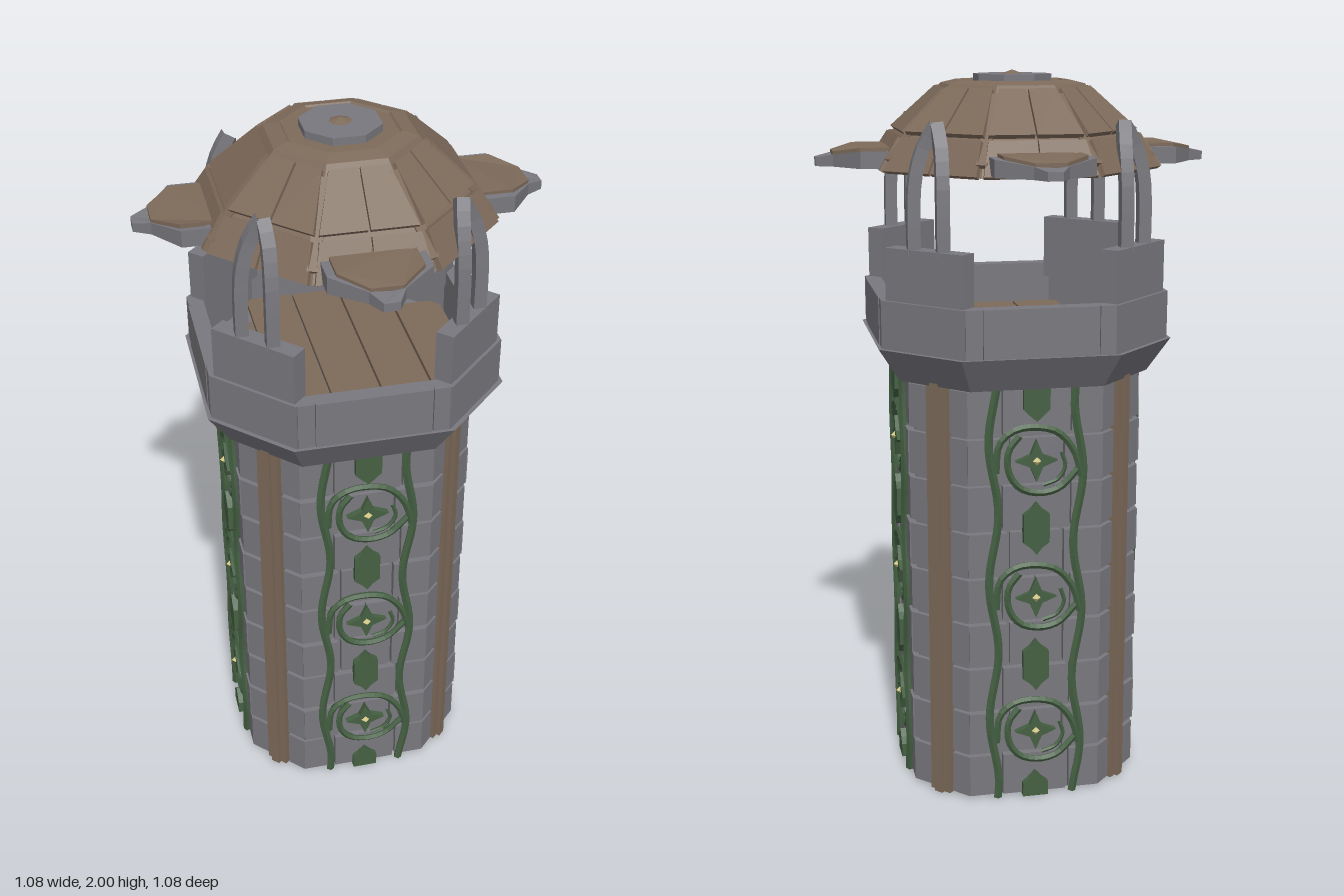
import * as THREE from 'three';

const mat = (name, color, side = THREE.FrontSide) => {
  const m = new THREE.MeshStandardMaterial({ color, side });
  m.name = name;
  return m;
};
const stone = mat('grey stone', 0x78787e);
const wood = mat('brown wood', 0x7d6a5a);
const roofWood = mat('roof brown', 0x7d6a5a, THREE.DoubleSide);
const vineGreen = mat('vine green', 0x456043);
const gold = mat('pale gold', 0xd8cc8c);

// Facetted normals on any geometry
function facet(geo) {
  const g = geo.index ? geo.toNonIndexed() : geo;
  g.computeVertexNormals();
  return g;
}
function add(parent, name, geo, material, x = 0, y = 0, z = 0) {
  const m = new THREE.Mesh(facet(geo), material);
  m.name = name;
  m.position.set(x, y, z);
  parent.add(m);
  return m;
}
const box = (w, h, d) => new THREE.BoxGeometry(w, h, d);

// Loft through octagons given as [y, flat distance, flat half-width]
function loft(rings, capBottom, capTop) {
  const pos = [];
  const pts = rings.map(([y, a, b]) => [[a, b], [b, a], [-b, a], [-a, b], [-a, -b], [-b, -a], [b, -a], [a, -b]]
    .map(([x, z]) => [x, y, z]));
  const tri = (...p) => p.forEach((v) => pos.push(...v));
  for (let i = 0; i < 8; i++) {
    const j = (i + 1) % 8;
    for (let r = 0; r + 1 < pts.length; r++) {
      const p = pts[r], q = pts[r + 1];
      tri(p[i], q[i], p[j]);
      tri(p[j], q[i], q[j]);
    }
    const last = pts[pts.length - 1];
    if (capBottom) tri([0, rings[0][0], 0], pts[0][i], pts[0][j]);
    if (capTop) tri([0, last[0][1], 0], last[j], last[i]);
  }
  const g = new THREE.BufferGeometry();
  g.setAttribute('position', new THREE.Float32BufferAttribute(pos, 3));
  return g;
}
const poly = (pts) => new THREE.Shape(pts.map((p) => new THREE.Vector2(...p)));
const plate = (pts, depth) => new THREE.ExtrudeGeometry(poly(pts), { depth, bevelEnabled: false });
const mirrored = (half) => [...half, ...half.slice().reverse().map(([x, y]) => [-x, y])];
function tube(points, radius, segs, sides = 5) {
  const curve = new THREE.CatmullRomCurve3(points.map((p) => new THREE.Vector3(...p)));
  return new THREE.TubeGeometry(curve, segs, radius, sides);
}
// Group turned towards one of the eight sides
function side(parent, name, k) {
  const g = new THREE.Group();
  g.name = name;
  g.rotation.y = k * Math.PI / 4;
  parent.add(g);
  return g;
}

const ROWS = 9, ROW = 1.19 / ROWS;

// Broad wall: staggered stone blocks
function wall(g) {
  for (let r = 0; r < ROWS; r++) {
    const s = r % 2 ? 0.075 : 0.095;
    [[-0.19, -s], [-s, s], [s, 0.19]].forEach(([x0, x1], i) => {
      const d = 0.022 + 0.004 * ((r + i) % 2);
      add(g, 'wallBlock', box(x1 - x0 - 0.01, ROW - 0.012, d), stone, (x0 + x1) / 2, (r + 0.5) * ROW, 0.3 + d / 2);
    });
  }
}

// Corner: narrow blocks either side of a timber post
function corner(g) {
  for (let r = 0; r < ROWS; r++) for (const s of [-1, 1])
    add(g, 'cornerBlock', box(0.058, ROW - 0.012, 0.022), stone, s * 0.068, (r + 0.5) * ROW, 0.348);
  add(g, 'cornerPost', box(0.066, 1.2, 0.03), wood, 0, 0.6, 0.352);
  add(g, 'postRidge', box(0.026, 1.2, 0.02), wood, 0, 0.6, 0.368);
}

// Climbing vine with rings, leaves and star flowers
function vine(g) {
  const z = 0.328;
  for (const s of [-1, 1]) {
    const stem = [];
    for (let i = 0; i <= 24; i++) {
      const y = 1.19 * i / 24;
      stem.push([s * (0.117 + 0.013 * Math.cos((y - 0.2) * Math.PI * 5 + s * 0.7)), y, z]);
    }
    add(g, 'vineStem', tube(stem, 0.012, 48), vineGreen);
  }
  const leaf = mirrored([[0, -0.075], [0.016, -0.055], [0.036, -0.04], [0.036, 0.04], [0.016, 0.055], [0, 0.075]]);
  for (const y of [0.4, 0.8]) add(g, 'leaf', plate(leaf, 0.022), vineGreen, 0, y, 0.32);
  const halfLeaf = mirrored([[0, -0.045], [0.018, -0.03], [0.036, -0.012], [0.036, 0.045]]);
  add(g, 'topLeaf', plate(halfLeaf, 0.022), vineGreen, 0, 1.145, 0.32);
  const lowLeaf = mirrored([[0.036, 0], [0.036, 0.04], [0.018, 0.055], [0, 0.075]]);
  add(g, 'bottomLeaf', plate(lowLeaf, 0.022), vineGreen, 0, 0, 0.32);
  for (const y of [0.2, 0.6, 0.99]) {
    const upper = [[-0.11, -0.03], [-0.1, 0.05], [-0.06, 0.085], [0, 0.092], [0.06, 0.075], [0.105, 0.02], [0.125, -0.05]];
    const lower = [[-0.045, 0.07], [-0.075, 0.03], [-0.075, -0.03], [-0.045, -0.075], [0.01, -0.092], [0.065, -0.08], [0.115, -0.03]];
    const curl = [[0.02, -0.07], [0.06, -0.055], [0.08, -0.02], [0.07, 0.02]];
    [[upper, 0.01], [lower, 0.01], [curl, 0.006]].forEach(([pts, r]) =>
      add(g, 'vineCurl', tube(pts.map(([a, b]) => [a, y + b, z]), r, 18), vineGreen));
    const star = [];
    for (let i = 0; i < 8; i++) {
      const r = i % 2 ? 0.024 : 0.058, t = i * Math.PI / 4;
      star.push([r * Math.cos(t), r * Math.sin(t)]);
    }
    add(g, 'starFlower', plate(star, 0.022), vineGreen, 0, y, 0.318);
    add(g, 'flowerCentre', new THREE.OctahedronGeometry(0.012), gold, 0, y, 0.34);
  }
}

// Raised block at the balcony corner carrying a pointed arch
function merlon(g) {
  add(g, 'merlon', box(0.25, 0.18, 0.05), stone, 0, 1.465, 0.388);
  for (const s of [-1, 1])
    add(g, 'archLeg', tube([[s * 0.047, 1.54, 0.39], [s * 0.047, 1.66, 0.39], [s * 0.043, 1.74, 0.385],
      [s * 0.026, 1.82, 0.368], [0, 1.87, 0.35]], 0.024, 10, 4), stone);
}

// Roof tile: tapered slab laid from (r0, y0) up to (r1, y1)
function tile(g, x0, x1, u0, u1, r0, y0, r1, y1) {
  const len = Math.hypot(r1 - r0, y1 - y0);
  const m = add(g, 'roofTile', plate([[x0, 0], [x1, 0], [u1, len], [u0, len]], 0.014), wood, 0, y0, r0);
  m.rotation.x = -Math.atan2(r0 - r1, y1 - y0);
}

// Projecting eave: grey bracket with a brown top, thinner towards the tip
function eave(g) {
  const taper = (pts, top, depth) => {
    const geo = plate(pts, depth).rotateX(Math.PI / 2).translate(0, top, 0);
    const p = geo.attributes.position;
    for (let i = 0; i < p.count; i++)
      if (p.getY(i) > 1.77) p.setY(i, p.getY(i) - Math.max(0, p.getZ(i) - 0.43) * 0.2);
    return geo;
  };
  add(g, 'eaveBracket', taper(mirrored([[0.13, 0.34], [0.13, 0.43], [0.045, 0.495], [0.02, 0.54]]), 1.797, 0.045), stone);
  add(g, 'eaveCover', taper(mirrored([[0.108, 0.33], [0.108, 0.43], [0.04, 0.495]]), 1.805, 0.014), wood);
}

export function createModel() {
  const tower = new THREE.Group();
  tower.name = 'tower';

  // Shaft core
  add(tower, 'shaftCore', loft([[0, 0.305, 0.185], [1.2, 0.305, 0.185]], true, true), stone);

  // Balcony: flared base, floor and parapet
  add(tower, 'balconyBase', loft([[1.19, 0.345, 0.18], [1.285, 0.403, 0.212]], true, true), stone);
  add(tower, 'parapet', loft([[1.28, 0.385, 0.2], [1.415, 0.385, 0.2], [1.415, 0.35, 0.185], [1.28, 0.35, 0.185]]), stone);
  for (let i = -2; i <= 2; i++)
    add(tower, 'floorPlank', box(0.132, 0.02, Math.abs(i) === 2 ? 0.44 : 0.69), wood, i * 0.138, 1.29, 0);

  // Roof shell, rim, cap and knob
  const ring = (y, a) => [y, a, a * 0.414];
  add(tower, 'roofShell', loft([ring(1.745, 0.37), ring(1.83, 0.315), ring(1.95, 0.19)]), roofWood);
  add(tower, 'roofCrown', loft([ring(1.94, 0.205), ring(1.965, 0.185), ring(1.975, 0.145), ring(1.97, 0.14)], true, true), wood);
  const cap = add(tower, 'roofCap', loft([ring(1.965, 0.1), ring(1.99, 0.1)], false, true), stone);
  cap.geometry.computeBoundingBox();
  add(tower, 'roofKnob', new THREE.ConeGeometry(0.03, 0.01, 8), wood, 0, 1.995, 0);

  for (let k = 0; k < 8; k++) {
    const diagonal = k % 2 === 1;
    const g = side(tower, diagonal ? 'cornerSide' : 'broadSide', k);
    if (diagonal) {
      corner(g);
      merlon(g);
      add(g, 'parapetPanel', box(0.27, 0.13, 0.012), stone, 0, 1.35, 0.416);
    } else {
      wall(g);
      vine(g);
      eave(g);
      add(g, 'parapetPanel', box(0.306, 0.13, 0.014), stone, 0, 1.35, 0.388);
      for (const s of [-1, 1]) add(g, 'parapetEnd', box(0.042, 0.13, 0.012), stone, s * 0.178, 1.35, 0.387);
    }
    // Two rows of roof tiles per side
    for (const s of [-1, 1]) {
      const span = (a, b) => (s < 0 ? [-b, -a] : [a, b]);
      tile(g, ...span(0.003, 0.148), ...span(0.003, 0.126), 0.372, 1.742, 0.318, 1.828);
      tile(g, ...span(0.003, 0.124), ...span(0.003, 0.075), 0.31, 1.838, 0.193, 1.948);
    }
    // Hip ridge between two sides
    const hip = side(g, 'hip', 0.5);
    const beam = add(hip, 'hipRidge', box(0.03, 0.025, 0.235), wood, 0, 1.853, 0.302);
    beam.rotation.x = Math.atan2(0.205, 0.195) * 0.98;
  }
  return tower;
}
